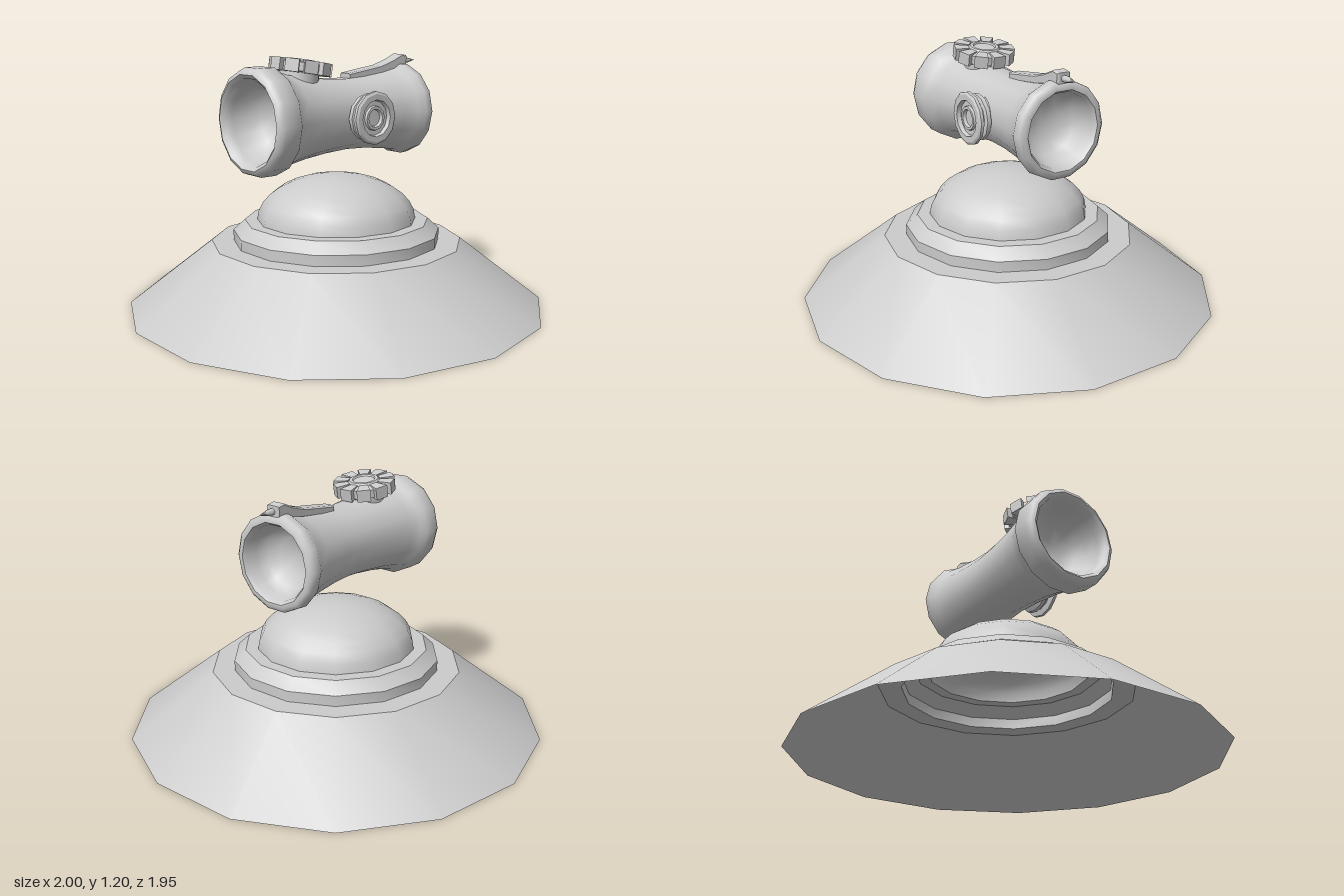
import * as THREE from 'three';
import { toCreasedNormals } from 'three/addons/utils/BufferGeometryUtils.js';

const material = new THREE.MeshStandardMaterial({ color: 0xcccccc });
const thinMaterial = new THREE.MeshStandardMaterial({ color: 0xcccccc, side: THREE.DoubleSide });

function part(name, geometry, mat = material) {
  const mesh = new THREE.Mesh(geometry, mat);
  mesh.name = name;
  return mesh;
}

// Revolve [radius, height] pairs, with a corner of the polygon on +x
function turned(profile, sides, crease) {
  const points = profile.map(([r, h]) => new THREE.Vector2(r, h));
  const geometry = new THREE.LatheGeometry(points, sides).rotateY(Math.PI / 2);
  return toCreasedNormals(geometry, crease);
}

function shapeFrom(points) {
  return new THREE.Shape(points.map(([x, y]) => new THREE.Vector2(x, y)));
}

// Open, stepped shell: flared skirt, collar and shallow dome
function makeBase() {
  const base = new THREE.Group();
  base.name = 'base';
  base.add(part('skirt', turned([
    [1, 0], [0.6, 0.31], [0.495, 0.31], [0.495, 0.36], [0.44, 0.41], [0.38, 0.41],
  ], 14, 0.5), thinMaterial));

  const dome = [];
  for (let i = 0; i <= 8; i++) {
    const a = (i / 8) * Math.PI / 2;
    dome.push([0.38 * Math.cos(a), 0.41 + 0.22 * Math.sin(a)]);
  }
  dome[8][0] = 0;
  base.add(part('dome', turned(dome, 14, 0.7), thinMaterial));
  return base;
}

// Waisted barrel lying along z, with a rounded rim and a hollow at each end
function makeBarrel() {
  const profile = [
    [0, -0.27], [0.09, -0.285], [0.14, -0.32], [0.165, -0.37], [0.172, -0.415],
    [0.185, -0.435], [0.205, -0.435], [0.222, -0.42], [0.225, -0.38], [0.205, -0.345],
    [0.19, -0.27], [0.175, -0.14], [0.17, -0.03], [0.177, 0.1], [0.19, 0.22],
    [0.207, 0.32], [0.225, 0.38], [0.245, 0.4], [0.245, 0.48], [0.235, 0.505],
    [0.215, 0.515], [0.197, 0.5], [0.19, 0.46], [0.178, 0.4], [0.14, 0.34],
    [0.08, 0.305], [0, 0.295],
  ];
  const barrel = part('barrel', turned(profile, 14, 0.95).rotateX(Math.PI / 2));
  barrel.position.y = 0.915;
  return barrel;
}

// Double-flanged dial on the left flank
function makeSideDial() {
  const profile = [
    [0.085, 0.12], [0.085, 0.165], [0.11, 0.18], [0.11, 0.2], [0.092, 0.205],
    [0.092, 0.218], [0.123, 0.225], [0.123, 0.24], [0.112, 0.247], [0.085, 0.247],
    [0.08, 0.228], [0.058, 0.228], [0.055, 0.24], [0.042, 0.24], [0.038, 0.225], [0, 0.225],
  ];
  const dial = part('sideDial', turned(profile, 12, 0.56).rotateZ(-Math.PI / 2));
  dial.position.set(0, 0.915, -0.03);
  return dial;
}

// Toothed knob on top, tipped to follow the barrel
function makeKnob() {
  const knob = new THREE.Group();
  knob.name = 'knob';
  knob.add(part('knobCore', turned([
    [0.09, -0.09], [0.09, -0.025], [0.122, -0.022], [0.122, 0.018], [0.075, 0.024],
    [0.068, 0.034], [0.054, 0.034], [0.05, 0.027], [0, 0.027],
  ], 20, 0.5)));

  const toothShape = shapeFrom([[0.075, -0.019], [0.143, -0.032], [0.143, 0.032], [0.075, 0.019]]);
  const toothGeometry = new THREE.ExtrudeGeometry(toothShape, { depth: 0.057, bevelEnabled: false });
  toothGeometry.rotateX(-Math.PI / 2).translate(0, -0.0285, 0);
  const teeth = 10;
  for (let i = 0; i < teeth; i++) {
    const tooth = part('knobTooth', toothGeometry);
    tooth.rotation.y = Math.PI / 2 + (i / teeth) * Math.PI * 2;
    knob.add(tooth);
  }
  knob.position.set(0, 1.146, 0.215);
  knob.rotation.x = -0.17;
  return knob;
}

// Rising lever with a small spike at the back
function makeLever() {
  const lever = new THREE.Group();
  lever.name = 'lever';
  // Side outline drawn as (distance backwards, height)
  const outline = shapeFrom([
    [0.05, 1.07], [0.33, 1.1], [0.43, 1.126], [0.432, 1.175], [0.395, 1.182],
    [0.33, 1.155], [0.255, 1.133], [0.05, 1.105],
  ]);
  const bar = new THREE.ExtrudeGeometry(outline, {
    depth: 0.05, bevelThickness: 0.009, bevelSize: 0.006, bevelOffset: -0.006, bevelSegments: 1,
  });
  bar.translate(0, 0, -0.025).rotateY(Math.PI / 2);
  lever.add(part('leverBar', bar));

  const spike = part('leverSpike', turned([
    [0, 0], [0.014, 0], [0.016, 0.05], [0, 0.115],
  ], 8, 0.8).rotateX(-Math.PI / 2));
  spike.position.set(0, 1.148, -0.4);
  lever.add(spike);
  return lever;
}

export function createModel() {
  const model = new THREE.Group();
  model.name = 'model';
  model.add(makeBase(), makeBarrel(), makeSideDial(), makeKnob(), makeLever());
  return model;
}
